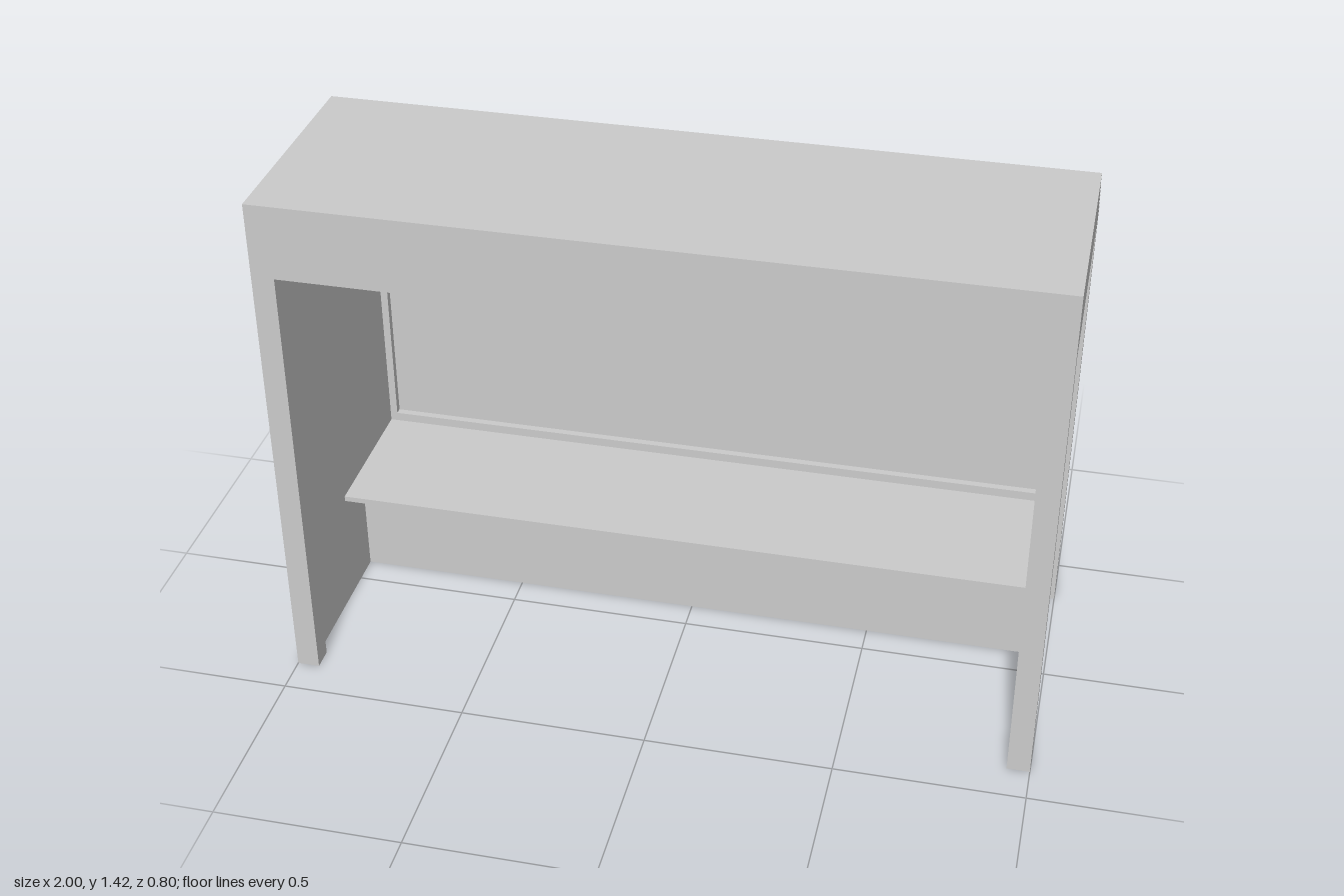
import * as THREE from 'three';

const material = new THREE.MeshStandardMaterial({ color: 0xcccccc, flatShading: true });

// Overall dimensions
const HALF_W = 1, HALF_D = 0.4, POST = 0.06, EAVE = 1.22, TOP = 1.42;
const INNER_X = HALF_W - POST, INNER_Z = HALF_D - POST;
const SILL = 0.355, SEAT_BOTTOM = 0.315, SEAT_TOP = 0.33;

function add(group, name, geometry) {
  const mesh = new THREE.Mesh(geometry, material);
  mesh.name = name;
  group.add(mesh);
  return mesh;
}

// Box given by its extents along each axis
function box(group, name, [x0, x1], [y0, y1], [z0, z1]) {
  const mesh = add(group, name, new THREE.BoxGeometry(x1 - x0, y1 - y0, z1 - z0));
  mesh.position.set((x0 + x1) / 2, (y0 + y1) / 2, (z0 + z1) / 2);
  return mesh;
}

function extrude(points, depth) {
  const shape = new THREE.Shape(points.map(([x, y]) => new THREE.Vector2(x, y)));
  return new THREE.ExtrudeGeometry(shape, { depth, bevelEnabled: false });
}

export function createModel() {
  const shelter = new THREE.Group();
  shelter.name = 'shelter';

  // Solid roof with a stepped rear edge; profile is drawn in (-z, y)
  const profile = [[-HALF_D, EAVE], [HALF_D, EAVE], [HALF_D, 1.238]];
  for (let i = 1; i <= 3; i++) {
    const z = HALF_D - i * 0.0615;
    profile.push([z, 1.238 + (i - 1) * 0.061], [z, i === 3 ? TOP : 1.238 + i * 0.061]);
  }
  profile.push([-HALF_D, TOP]);
  const roof = extrude(profile, HALF_W * 2);
  roof.rotateY(Math.PI / 2);
  roof.translate(-HALF_W, 0, 0);
  add(shelter, 'roof', roof);

  // Rear frame: two posts joined by the low wall under the window
  const rear = extrude([
    [-HALF_W, 0], [HALF_W, 0], [HALF_W, EAVE], [INNER_X, EAVE],
    [INNER_X, SILL], [-INNER_X, SILL], [-INNER_X, EAVE], [-HALF_W, EAVE],
  ], POST);
  rear.translate(0, 0, -HALF_D);
  add(shelter, 'rearFrame', rear);
  box(shelter, 'rearPane', [-INNER_X, INNER_X], [SILL, EAVE], [-0.38, -0.36]);

  // Front posts and recessed side panels, mirrored
  for (const [side, s] of [['left', 1], ['right', -1]]) {
    const span = (a, b) => (s > 0 ? [a, b] : [-b, -a]);
    box(shelter, side + 'FrontPost', span(INNER_X, HALF_W), [0, EAVE], [INNER_Z, HALF_D]);
    box(shelter, side + 'SidePanel', span(0.96, 0.98), [0, EAVE], [-INNER_Z, INNER_Z]);
  }

  // Bench: a solid base with an overhanging seat board
  box(shelter, 'benchBase', [-0.96, 0.96], [0, SEAT_BOTTOM], [-INNER_Z, -0.08]);
  box(shelter, 'benchSeat', [-0.96, 0.96], [SEAT_BOTTOM, SEAT_TOP], [-INNER_Z, 0.06]);

  return shelter;
}
